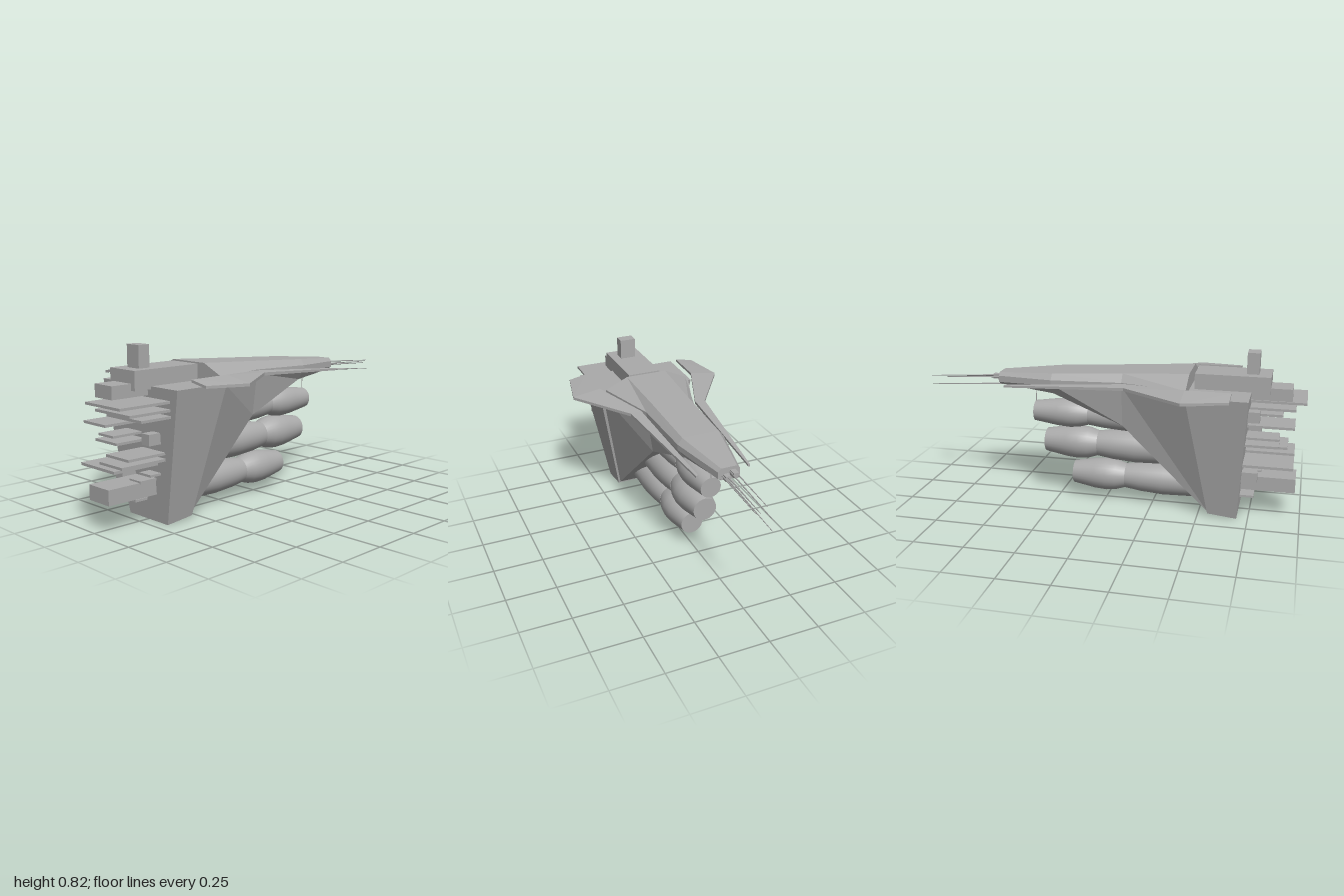
import * as THREE from 'three';

const hullGrey = new THREE.MeshStandardMaterial({ color: 0xaaaaaa, side: THREE.DoubleSide });
hullGrey.name = 'hull grey';

function add(parent, name, geometry) {
  const mesh = new THREE.Mesh(geometry, hullGrey);
  mesh.name = name;
  parent.add(mesh);
  return mesh;
}

// Box given by its limits on each axis
function block(parent, name, x0, x1, y0, y1, z0, z1) {
  const mesh = add(parent, name, new THREE.BoxGeometry(x1 - x0, y1 - y0, z1 - z0));
  mesh.position.set((x0 + x1) / 2, (y0 + y1) / 2, (z0 + z1) / 2);
  return mesh;
}

// Faceted skin over cross-sections ordered from +z to -z, each counterclockwise seen from +z
function loft(sections) {
  const pos = [];
  const tri = (...pts) => pts.forEach((p) => pos.push(...p));
  const n = sections[0].length;
  for (let i = 0; i < sections.length - 1; i++) {
    for (let j = 0; j < n; j++) {
      const k = (j + 1) % n;
      const a = sections[i][j], b = sections[i][k];
      const d = sections[i + 1][j], c = sections[i + 1][k];
      tri(a, d, b);
      tri(b, d, c);
    }
  }
  const first = sections[0], last = sections[sections.length - 1];
  for (let j = 1; j < n - 1; j++) {
    tri(first[0], first[j], first[j + 1]);
    tri(last[0], last[j + 1], last[j]);
  }
  const g = new THREE.BufferGeometry();
  g.setAttribute('position', new THREE.Float32BufferAttribute(pos, 3));
  g.computeVertexNormals();
  return g;
}

// Symmetric four-sided section: top half width, y, z, then bottom half width, y, z
const keelSection = ([xt, yt, zt, xb, yb, zb]) =>
  [[-xb, yb, zb], [xb, yb, zb], [xt, yt, zt], [-xt, yt, zt]];

// Thin rod between two points
function rod(parent, name, from, to, r) {
  const a = new THREE.Vector3(...from), b = new THREE.Vector3(...to);
  const dir = b.clone().sub(a);
  const mesh = add(parent, name, new THREE.CylinderGeometry(r * 0.4, r, dir.length(), 6));
  mesh.position.copy(a).add(b).multiplyScalar(0.5);
  mesh.quaternion.setFromUnitVectors(new THREE.Vector3(0, 1, 0), dir.normalize());
}

export function createModel() {
  const model = new THREE.Group();
  model.name = 'spaceship';

  // Tall wedge-shaped bow block
  add(model, 'bowBlock', loft([
    [0.27, 0.64, 0.735, 0.14, 0, 0.695],
    [0.265, 0.64, 0.437, 0.14, 0.015, 0.55],
  ].map(keelSection)));

  // Lower hull sweeping up to the tail
  add(model, 'lowerHull', loft([
    [0.25, 0.64, 0.44, 0.13, 0.02, 0.55],
    [0.13, 0.64, 0.105, 0.10, 0.43, 0.105],
    [0.115, 0.625, -0.26, 0.08, 0.57, -0.26],
    [0.05, 0.61, -0.56, 0.04, 0.595, -0.56],
  ].map(keelSection)));

  // Upper hull: z, top half width, top y, shoulder half width, shoulder y, base y
  add(model, 'upperHull', loft([
    [0.437, 0.11, 0.72, 0.23, 0.665, 0.635],
    [0.105, 0.1, 0.70, 0.132, 0.66, 0.63],
    [-0.26, 0.095, 0.678, 0.12, 0.648, 0.62],
    [-0.56, 0.04, 0.655, 0.055, 0.638, 0.605],
  ].map(([z, xt, yt, xs, ys, yb]) => [
    [-xs, yb, z], [xs, yb, z], [xs, ys, z], [xt, yt, z], [-xt, yt, z], [-xs, ys, z],
  ])));

  // Bridge and tower
  block(model, 'bridge', -0.088, 0.09, 0.627, 0.717, 0.46, 0.825);
  block(model, 'bridgeFront', -0.06, 0.064, 0.597, 0.658, 0.7, 0.93);
  block(model, 'tower', -0.04, 0.044, 0.715, 0.822, 0.705, 0.765);

  // Side fins: z, inner x, inner y, outer x, outer y, thickness
  const finGeometry = loft([
    [0.655, 0.27, 0.68, 0.365, 0.662, 0.012],
    [0.437, 0.265, 0.68, 0.412, 0.656, 0.014],
    [0.13, 0.15, 0.66, 0.205, 0.655, 0.015],
    [-0.505, 0.126, 0.612, 0.137, 0.61, 0.01],
  ].map(([z, xi, yi, xo, yo, t]) => [
    [xi, yi - t, z], [xo, yo - t, z], [xo, yo, z], [xi, yi, z],
  ]));
  add(model, 'leftFin', finGeometry);
  add(model, 'rightFin', finGeometry).scale.x = -1;

  // Thin plates and boxes on the bow: x range, y range, front z
  [
    [-0.035, 0.215, 0.576, 0.588, 1.0],
    [-0.035, 0.215, 0.539, 0.551, 0.95],
    [-0.035, 0.215, 0.509, 0.521, 0.89],
    [-0.125, 0.036, 0.475, 0.487, 0.95],
    [-0.115, -0.004, 0.41, 0.421, 0.88],
    [-0.14, 0.02, 0.38, 0.392, 0.88],
    [-0.006, 0.157, 0.335, 0.347, 0.92],
    [-0.006, 0.157, 0.306, 0.318, 0.955],
    [-0.15, 0.1, 0.278, 0.291, 0.955],
    [0.035, 0.116, 0.233, 0.244, 0.77],
    [0, 0.08, 0.202, 0.214, 0.8],
    [-0.042, 0.04, 0.123, 0.134, 0.77],
    [-0.077, 0.002, 0.094, 0.105, 0.77],
  ].forEach(([x0, x1, y0, y1, z]) => block(model, 'bowPlate', x0, x1, y0, y1, 0.62, z));
  [
    [-0.164, -0.11, 0.51, 0.563, 0.785],
    [0.078, 0.131, 0.381, 0.433, 0.785],
    [-0.126, -0.073, 0.191, 0.243, 0.785],
    [-0.07, 0.075, 0.134, 0.206, 0.97],
  ].forEach(([x0, x1, y0, y1, z]) => block(model, 'bowBox', x0, x1, y0, y1, 0.64, z));

  // Stacked engines: centre y, start z, joint z, end z, widest radius
  [
    [0.45, 0.3, -0.09, -0.38, 0.076],
    [0.295, 0.42, -0.04, -0.32, 0.087],
    [0.128, 0.53, 0.107, -0.17, 0.084],
  ].forEach(([y, zs, zj, ze, r]) => {
    const engine = new THREE.Group();
    engine.name = 'engine';
    engine.position.y = y;
    model.add(engine);
    const turned = (name, points) => add(engine, name, new THREE.LatheGeometry(
      points.map(([rad, z]) => new THREE.Vector2(rad, -z)), 28).rotateX(-Math.PI / 2));
    turned('engineBody', [
      [r * 0.92, zs], [r, zj + 0.2], [r * 0.9, zj + 0.08], [r * 0.76, zj],
    ]);
    turned('engineNozzle', [
      [r * 0.74, zj], [r * 0.93, zj - 0.05], [r, zj - 0.1],
      [r * 0.95, zj - 0.16], [r * 0.7, ze],
    ]);
    const cap = add(engine, 'nozzleEnd', new THREE.CircleGeometry(r * 0.7, 28));
    cap.rotation.y = Math.PI;
    cap.position.z = ze;
  });

  // Tail fittings and antennas
  block(model, 'tailBox', -0.03, -0.005, 0.615, 0.64, -0.6, -0.55);
  block(model, 'tailBox', 0.005, 0.03, 0.6, 0.625, -0.59, -0.55);
  [
    [-0.03, 0.63, -0.86, 0.61],
    [-0.005, 0.635, -0.96, 0.605],
    [0.018, 0.625, -0.89, 0.605],
    [0.033, 0.62, -0.88, 0.6],
    [0.0, 0.588, -0.96, 0.557],
    [-0.012, 0.59, -0.8, 0.57],
  ].forEach(([x, y, z, yEnd]) => rod(model, 'tailAntenna', [x, y, -0.5], [x, yEnd, z], 0.004));
  rod(model, 'keelAntenna', [0, 0.59, -0.378], [0, 0.45, -0.378], 0.003);

  return model;
}
